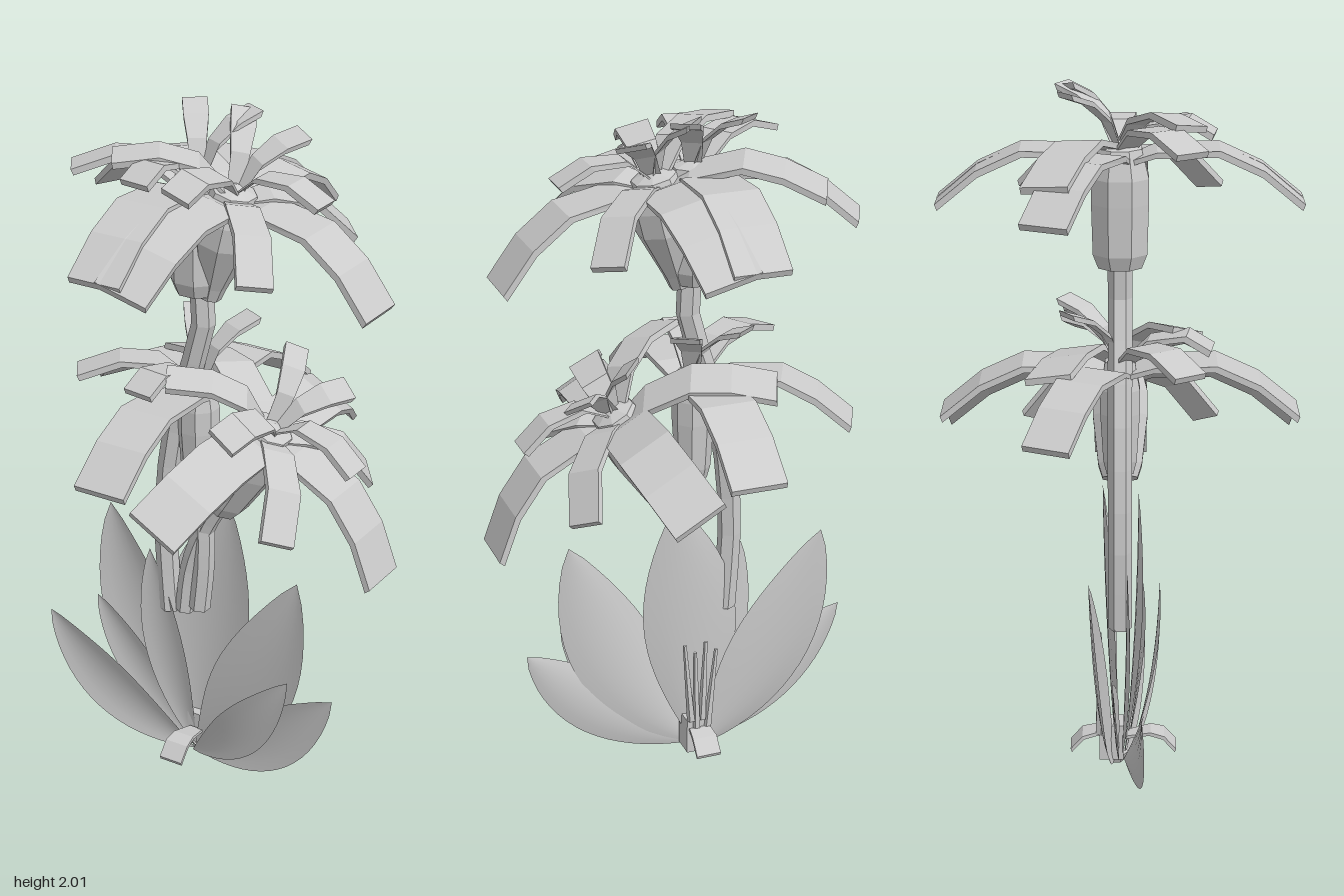
import * as THREE from 'three';

const flat = new THREE.MeshStandardMaterial({ color: 0xcccccc, flatShading: true, side: THREE.DoubleSide });
const smooth = new THREE.MeshStandardMaterial({ color: 0xcccccc, side: THREE.DoubleSide });
const V = (x, y, z = 0) => new THREE.Vector3(x, y, z);

function add(parent, name, geometry, material = flat) {
  const mesh = new THREE.Mesh(geometry, material);
  mesh.name = name;
  parent.add(mesh);
  return mesh;
}

// Bent strap: a side profile of [radius, height] points, extruded across its width
function strap(profile, width, thickness = 0.017) {
  const top = profile.map(([r, y]) => new THREE.Vector2(r, y));
  const under = profile.map(([r, y]) => new THREE.Vector2(r - thickness * 0.4, y - thickness)).reverse();
  const geo = new THREE.ExtrudeGeometry(new THREE.Shape([...top, ...under]), { depth: width, bevelEnabled: false });
  geo.translate(0, 0, -width / 2);
  const p = geo.attributes.position;
  for (let i = 0; i < p.count; i++) p.setZ(i, p.getZ(i) * Math.min(1, 0.55 + Math.max(0, p.getX(i)) * 4));
  return geo;
}

const LONG = [[0.02, -0.03], [0.1, 0], [0.27, 0.005], [0.39, -0.05], [0.5, -0.14]];
const LEFT = [[0.02, -0.03], [0.1, 0], [0.25, 0.005], [0.35, -0.045], [0.45, -0.125]];
const SHORT = [[0.02, -0.02], [0.1, 0.01], [0.24, 0], [0.36, -0.085]];
const INNER = [[0.01, 0], [0.07, 0.08], [0.17, 0.105], [0.27, 0.08]];
const FRONT = [[0.01, 0], [0.08, 0.07], [0.19, 0.09], [0.26, 0.05]];
const RISING = [[0.01, 0], [0.05, 0.09], [0.11, 0.14], [0.18, 0.165]];
const RAISED = [[0.02, 0], [0.11, 0.07], [0.22, 0.08], [0.34, 0.04]];

// Petals on the upright and the leaning flowers: [profile, width, angle in degrees]
const COMMON = [
  [LONG, 0.16, 90], [LONG, 0.16, 270], [LEFT, 0.14, 154],
  [RAISED, 0.1, 214], [FRONT, 0.095, 262],
  [RISING, 0.07, 125], [RISING, 0.08, 62],
];
const RIGHT_SIDE = [
  [LONG, 0.16, 0], [INNER, 0.09, 0], [SHORT, 0.1, 46], [SHORT, 0.1, 314],
];

function flower(name, x, y, tiltDegrees, budRadius, budBase, petals) {
  const head = new THREE.Group();
  head.name = name;
  // Bud below the petals
  const profile = [[0, -0.33], [budBase * 0.8, -0.33], [budBase, -0.29], [1, -0.15], [1, -0.08], [0.75, 0], [0, 0.02]];
  const bud = add(head, 'bud', new THREE.LatheGeometry(profile.map(([r, h]) => new THREE.Vector2(r * budRadius, h)), 8));
  bud.rotation.y = Math.PI / 8;
  for (const [path, width, angle] of petals) {
    add(head, 'petal', strap(path, width)).rotation.y = THREE.MathUtils.degToRad(angle);
  }
  head.position.set(x, y, 0);
  head.rotation.z = THREE.MathUtils.degToRad(tiltDegrees);
  return head;
}

function stem(parent, name, points, radius) {
  add(parent, name, new THREE.TubeGeometry(new THREE.CatmullRomCurve3(points), 9, radius, 6));
}

// Pointed leaf following a curve, widest past the middle and slightly cupped
function leaf(base, control, tip, width) {
  const curve = new THREE.QuadraticBezierCurve3(base, control, tip);
  const geo = new THREE.PlaneGeometry(1, 1, 6, 18);
  const p = geo.attributes.position;
  for (let i = 0; i < p.count; i++) {
    const u = p.getX(i) * 2;
    const t = THREE.MathUtils.clamp(p.getY(i) + 0.5, 0, 1);
    const c = curve.getPoint(t);
    const d = curve.getTangent(t);
    const half = 0.5 * width * Math.pow(Math.max(0, Math.sin(Math.PI * Math.pow(t, 1.1))), 0.8);
    const n = Math.hypot(d.x, d.y);
    p.setXYZ(i, c.x + (d.y / n) * half * u, c.y - (d.x / n) * half * u, c.z + 0.17 * half * u * u);
  }
  geo.computeVertexNormals();
  return geo;
}

export function createModel() {
  const model = new THREE.Group();
  model.name = 'floweringPlant';

  // Two tiers, each an upright flower with a second one leaning right
  model.add(flower('topUprightFlower', -0.05, 1.835, 0, 0.085, 0.95, COMMON));
  model.add(flower('topLeaningFlower', 0.065, 1.815, -14, 0.085, 0.5, [...COMMON, ...RIGHT_SIDE]));
  model.add(flower('lowerUprightFlower', -0.05, 1.235, 0, 0.06, 0.85, COMMON));
  model.add(flower('lowerLeaningFlower', 0.19, 1.145, -30, 0.085, 0.8, [...COMMON, ...RIGHT_SIDE]));

  // Stems
  stem(model, 'topStem', [V(-0.04, 1.53), V(-0.035, 1.4), V(-0.09, 1.22), V(-0.14, 1.02), V(-0.165, 0.75), V(-0.15, 0.47)], 0.034);
  stem(model, 'uprightStem', [V(-0.05, 0.93), V(-0.035, 0.8), V(-0.035, 0.65), V(-0.05, 0.5)], 0.032);
  stem(model, 'leaningStem', [V(0.03, 0.88), V(-0.03, 0.77), V(-0.08, 0.63), V(-0.1, 0.48)], 0.03);

  // Leaf fan: [control x, y, tip x, y, z, width]
  const leaves = [
    [-0.06, 0.42, 0.02, 0.84, -0.05, 0.29],
    [-0.3, 0.25, -0.42, 0.71, -0.085, 0.26],
    [0.19, 0.25, 0.31, 0.71, 0.055, 0.26],
    [-0.34, 0.12, -0.55, 0.37, 0.06, 0.19],
    [0.23, 0.12, 0.44, 0.37, 0.07, 0.19],
    [-0.28, 0.2, -0.43, 0.42, -0.02, 0.14],
    [0.16, 0.15, 0.32, 0.42, 0.12, 0.15],
    [-0.17, 0.3, -0.21, 0.66, 0.02, 0.14],
  ];
  for (const [cx, cy, tx, ty, z, width] of leaves) {
    add(model, 'leaf', leaf(V(-0.06, 0.01, z * 0.2), V(cx, cy, z * 0.9), V(tx, ty, z), width), smooth);
  }

  // Small crown at the root with drooping straps and thin shoots behind
  add(model, 'rootCrown', new THREE.BoxGeometry(0.075, 0.11, 0.07)).position.set(-0.05, 0.075, -0.025);
  add(model, 'rootFoot', new THREE.CylinderGeometry(0.035, 0.02, 0.03, 6)).position.set(-0.05, 0.015, -0.01);
  for (const side of [-1, 1]) {
    const s = add(model, 'rootStrap', strap([[0.01, 0.09], [0.08, 0.105], [0.12, 0.095], [0.155, 0.055]], 0.075, 0.01));
    s.rotation.y = side * Math.PI / 2;
    s.position.set(-0.05, 0, 0.01);
  }
  for (let i = 0; i < 4; i++) {
    const shoot = add(model, 'shoot', new THREE.CylinderGeometry(0.006, 0.013, 0.26, 5));
    shoot.position.set(-0.09 + i * 0.025, 0.23 + 0.03 * (i % 2), -0.06);
    shoot.rotation.z = 0.1 - i * 0.06;
  }
  return model;
}
